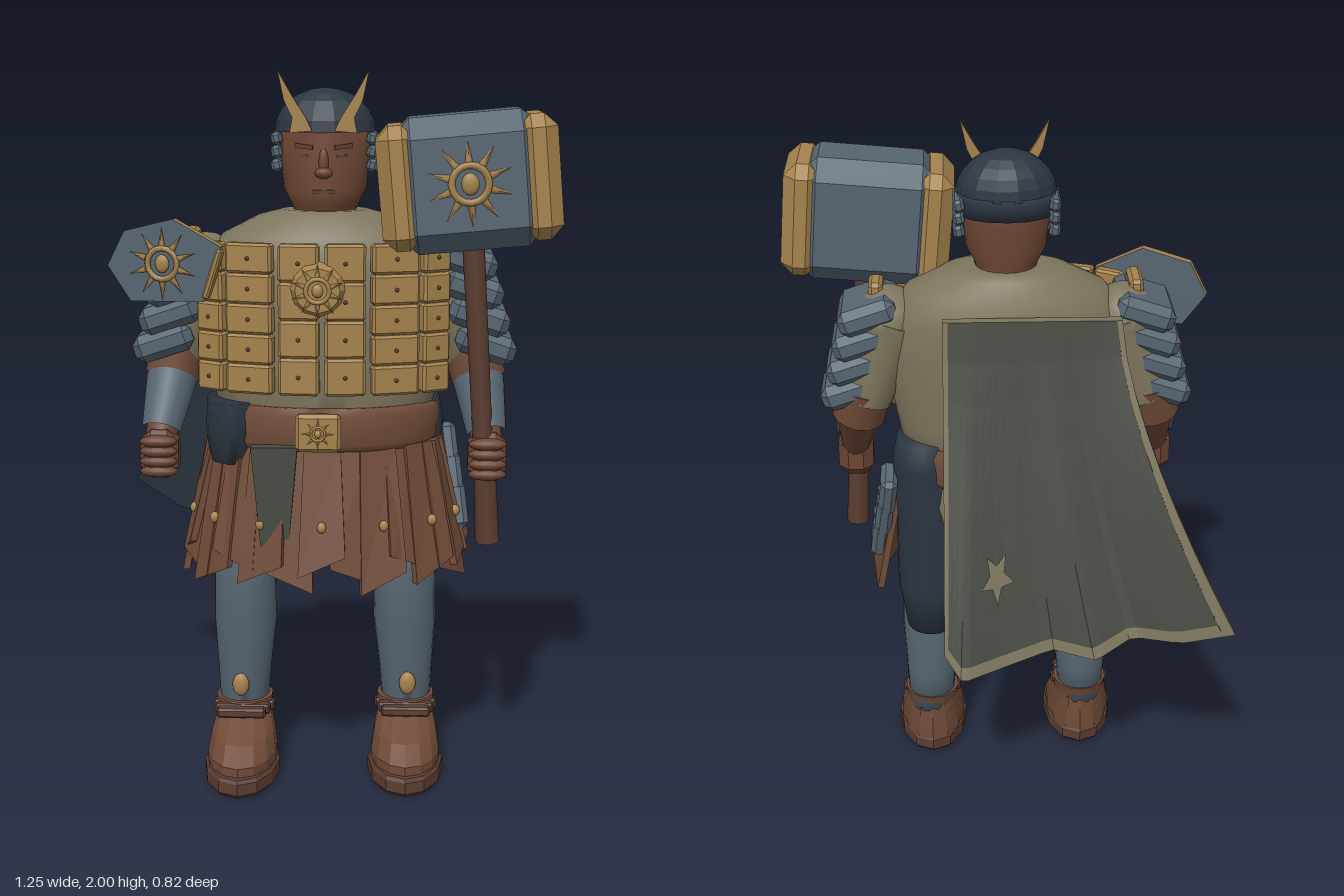
import * as THREE from 'three';
import { ConvexGeometry } from 'three/addons/geometries/ConvexGeometry.js';

const mat = (name, color, side = THREE.FrontSide) => {
  const m = new THREE.MeshStandardMaterial({ color, side });
  m.name = name;
  return m;
};

export function createModel() {
  const root = new THREE.Group();
  const gold = mat('gold', 0xa5834d), steel = mat('steel', 0x566571, THREE.DoubleSide);
  const navy = mat('navy', 0x2b3641), leather = mat('leather', 0x6f4a37), skin = mat('skin', 0x6c4534);
  const tan = mat('tan cloth', 0x7d755d), cloth = mat('dark cloth', 0x484a43), wood = mat('wood', 0x5c3d31);

  const add = (name, geo, m, pos = [0, 0, 0], rot = [0, 0, 0], parent = root) => {
    const mesh = new THREE.Mesh(geo, m);
    mesh.name = name;
    mesh.position.set(...pos);
    mesh.rotation.set(...rot);
    parent.add(mesh);
    return mesh;
  };
  const flat = (g) => { const n = g.index ? g.toNonIndexed() : g; n.computeVertexNormals(); return n; };
  const plate = (points, depth) => new THREE.ExtrudeGeometry(
    new THREE.Shape(points.map(([x, y]) => new THREE.Vector2(x, y))), { depth, bevelEnabled: false });
  // Box with cut corners and edges
  const chamfer = (w, h, d, c) => {
    const p = [];
    for (const x of [-1, 1]) for (const y of [-1, 1]) for (const z of [-1, 1])
      for (const k of [0, 1, 2])
        p.push(new THREE.Vector3(x * (w / 2 - (k === 0 ? 0 : c)), y * (h / 2 - (k === 1 ? 0 : c)), z * (d / 2 - (k === 2 ? 0 : c))));
    return new ConvexGeometry(p);
  };
  // Elliptical rings [y, cx, cz, rx, rz] from bottom to top
  const loft = (rings, n = 20) => {
    const p = [], idx = [];
    for (const [y, cx, cz, rx, rz] of rings)
      for (let i = 0; i < n; i++) {
        const a = i / n * Math.PI * 2;
        p.push(cx + rx * Math.sin(a), y, cz + rz * Math.cos(a));
      }
    for (let r = 0; r < rings.length - 1; r++)
      for (let i = 0; i < n; i++) {
        const a = r * n + i, b = r * n + (i + 1) % n;
        idx.push(a, b, b + n, a, b + n, a + n);
      }
    const top = (rings.length - 1) * n;
    for (let i = 1; i < n - 1; i++) idx.push(0, i + 1, i, top, top + i, top + i + 1);
    const g = new THREE.BufferGeometry();
    g.setAttribute('position', new THREE.Float32BufferAttribute(p, 3));
    g.setIndex(idx);
    g.computeVertexNormals();
    return g;
  };
  // Tapered limb between two points
  const limb = (name, a, b, ra, rb, m, n = 14, ...arc) => {
    const A = new THREE.Vector3(...a), B = new THREE.Vector3(...b), d = B.clone().sub(A);
    const mesh = add(name, new THREE.CylinderGeometry(rb, ra, d.length(), n, 1, ...arc), m);
    mesh.position.copy(A).add(B).multiplyScalar(0.5);
    mesh.quaternion.setFromUnitVectors(new THREE.Vector3(0, 1, 0), d.normalize());
  };
  const ball = (name, m, pos, s, parent = root) => {
    const mesh = add(name, new THREE.SphereGeometry(1, 14, 10), m, pos, [0, 0, 0], parent);
    mesh.scale.set(...s);
  };
  // Sun ornament facing +z
  const sun = (name, r, rays, pos, parent) => {
    const g = new THREE.Group();
    g.name = name;
    g.position.set(...pos);
    add('sunRing', new THREE.TorusGeometry(r * 0.42, r * 0.08, 6, 16), gold, [0, 0, 0], [0, 0, 0], g);
    ball('sunHub', gold, [0, 0, 0], [r * 0.2, r * 0.25, 0.012], g);
    for (let i = 0; i < rays; i++) {
      const a = i / rays * Math.PI * 2;
      add('sunRay', new THREE.ConeGeometry(r * 0.09, r * 0.5, 4), gold,
        [-Math.sin(a) * r * 0.74, Math.cos(a) * r * 0.74, 0], [0, 0, a], g);
    }
    parent.add(g);
  };

  // Torso, rump and belt
  add('torso', loft([[1.0, 0, 0.13, 0.29, 0.16], [1.15, 0, 0.13, 0.315, 0.175], [1.35, 0, 0.13, 0.355, 0.18],
    [1.48, 0, 0.13, 0.345, 0.18], [1.56, 0, 0.125, 0.28, 0.16], [1.61, 0, 0.12, 0.18, 0.12], [1.625, 0, 0.12, 0.12, 0.09]], 28), tan);
  ball('rump', tan, [0, 0.92, 0.1], [0.3, 0.185, 0.16]);
  add('belt', loft([[0.98, 0, 0.13, 0.3, 0.18], [1.0, 0, 0.13, 0.32, 0.195], [1.08, 0, 0.13, 0.32, 0.195], [1.1, 0, 0.13, 0.3, 0.18]], 28), leather);
  add('hipCloth', loft([[0.93, -0.25, 0.14, 0.075, 0.12], [1.02, -0.252, 0.14, 0.083, 0.158], [1.105, -0.25, 0.14, 0.08, 0.15]]), navy);
  add('buckle', chamfer(0.125, 0.105, 0.03, 0.01), gold, [-0.01, 1.04, 0.335]);
  sun('buckleSun', 0.045, 8, [-0.01, 1.04, 0.352], root);

  // Breastplate columns [x, plate width, rows], wrapped round the chest
  for (const [x, w, rows] of [[0.062, 0.11, 4], [0.195, 0.132, 5], [0.302, 0.085, 5]]) for (const s of [-1, 1]) {
    const a = Math.asin(x / 0.385) * s, z = 0.13 + 0.19 * Math.cos(a);
    const yaw = Math.atan2(Math.sin(a) * 0.19, Math.cos(a) * 0.385), step = 0.41 / rows;
    for (let r = 0; r < rows; r++) {
      const y = 1.14 + (r + 0.5) * step;
      add('chestPlate', chamfer(w, step - 0.001, 0.035, 0.007), gold, [x * s, y, z], [0, yaw, 0]);
      add('rivet', new THREE.SphereGeometry(0.006, 6, 4), wood, [x * s + Math.sin(yaw) * 0.018, y, z + Math.cos(yaw) * 0.018]);
    }
  }
  add('chestDisc', flat(new THREE.CylinderGeometry(0.06, 0.075, 0.03, 12)), gold, [-0.01, 1.43, 0.345], [Math.PI / 2, 0, 0]);
  sun('chestSun', 0.075, 10, [-0.01, 1.43, 0.362], root);

  // Leather skirt strips round the front, with studs and a cloth strip
  for (let i = 0; i < 15; i++) {
    const a = (i - 7) * 0.235, len = [0.37, 0.32, 0.35][i % 3], k = Math.cos(a);
    const strip = new THREE.BoxGeometry(0.1, len, 0.02), p = strip.attributes.position;
    for (let v = 0; v < p.count; v++)
      if (p.getY(v) < 0) {
        const side = Math.sign(p.getX(v));
        p.setXYZ(v, p.getX(v) * 1.3, p.getY(v) + side * (i % 2 ? 0.03 : -0.025), p.getZ(v) + 0.04);
      } else p.setZ(v, p.getZ(v) - 0.035);
    const yaw = Math.atan2(Math.sin(a) * 0.2, k * 0.34);
    const x = 0.35 * Math.sin(a), z = 0.12 + 0.2 * k;
    add('skirtStrip', flat(strip), leather, [x, 0.99 - len / 2, z + (i % 2) * 0.008], [0, yaw, 0]);
    if (i % 2) ball('stud', gold, [x * 1.07, 0.78, z + 0.03 * k + 0.008], [0.013, 0.016, 0.013]);
  }
  add('clothStrip', flat(new THREE.CylinderGeometry(0.09, 0.055, 0.28, 4).rotateY(Math.PI / 4)), cloth, [-0.13, 0.86, 0.328]).scale.z = 0.3;
  for (let i = 0; i < 5; i++) add('innerStrip', new THREE.BoxGeometry(0.05, 0.22, 0.02), cloth, [-0.12 + i * 0.06, 0.76, 0.22 + (i % 2) * 0.02]);

  // Legs and boots
  for (const s of [-1, 1]) {
    const dz = s < 0 ? 0.03 : 0, x = s * 0.23, bx = s * 0.235;
    add('trouserLeg', loft([[0.47, x, 0.075 + dz, 0.075, 0.082], [0.62, x, 0.08 + dz, 0.098, 0.1], [0.85, s * 0.22, 0.09, 0.108, 0.108],
      [1.03, s * 0.235, 0.09, 0.1, 0.115], [1.11, s * 0.24, 0.085, 0.08, 0.1]]), navy);
    add('greave', loft([[0.15, s * 0.237, 0.1 + dz, 0.068, 0.07], [0.28, s * 0.235, 0.1 + dz, 0.076, 0.08],
      [0.45, x, 0.11 + dz, 0.09, 0.088], [0.58, x, 0.115 + dz, 0.087, 0.088], [0.66, x, 0.11 + dz, 0.08, 0.08]]), steel);
    ball('greaveStud', gold, [s * 0.24, 0.265, 0.185 + dz], [0.024, 0.034, 0.015]);
    add('sole', flat(loft([[0, bx, 0.2 + dz, 0.098, 0.175], [0.012, bx, 0.2 + dz, 0.108, 0.187], [0.045, bx, 0.2 + dz, 0.108, 0.187],
      [0.055, bx, 0.2 + dz, 0.1, 0.18]], 12)), wood);
    add('boot', flat(loft([[0.045, bx, 0.19 + dz, 0.1, 0.172], [0.08, bx, 0.19 + dz, 0.1, 0.17], [0.125, bx, 0.165 + dz, 0.092, 0.14],
      [0.17, bx, 0.12 + dz, 0.08, 0.09], [0.21, bx, 0.105 + dz, 0.083, 0.085]], 14)), leather);
    add('toeSeam', new THREE.BoxGeometry(0.03, 0.012, 0.16), wood, [bx, 0.125, 0.25 + dz], [0.38, 0, 0]);
    for (let i = 0; i < 3; i++)
      add('bootStrap', chamfer(0.18 - i * 0.02, 0.028, 0.035, 0.006), wood, [bx, 0.185 + i * 0.007, 0.13 + dz + i * 0.05]);
  }

  // Arms, shoulder slats and fists
  for (const s of [-1, 1]) {
    limb('upperArm', [s * 0.32, 1.47, 0.12], [s * 0.405, 1.22, 0.11], 0.1, 0.075, tan);
    ball('shoulder', tan, [s * 0.33, 1.46, 0.12], [0.1, 0.1, 0.1]);
    limb('elbowCuff', [s * 0.405, 1.265, 0.11], [s * 0.43, 1.155, 0.13], 0.08, 0.077, leather);
    limb('forearm', [s * 0.425, 1.18, 0.115], [s * 0.45, 1.0, 0.25], 0.068, 0.042, skin);
    limb('bracer', [s * 0.45, 1.02, 0.243], [s * 0.43, 1.15, 0.146], 0.054, 0.071, steel, 12, true, -Math.PI / 2, Math.PI);
    add('fist', chamfer(0.105, 0.135, 0.1, 0.03), skin, [s * 0.45, 0.965, 0.262]);
    for (let i = 0; i < 4; i++) ball('finger', skin, [s * 0.45, 0.92 + i * 0.028, 0.3], [0.052, 0.017, 0.022]);
    for (let i = 0; i < 4; i++)
      add('shoulderSlat', chamfer(0.17, 0.078, 0.185 + i * 0.01, 0.022), steel,
        [s * (0.445 - i * 0.019), 1.26 + i * 0.078, 0.13], [0, 0, -s * 0.32]);
    add('shoulderClasp', chamfer(0.04, 0.08, 0.12, 0.01), gold, [s * 0.365, 1.535, 0.155]);
  }

  // Six-sided shoulder shield with a gold rim
  const shield = new THREE.Group();
  shield.name = 'shoulderShield';
  shield.position.set(-0.425, 1.49, 0.25);
  shield.rotation.y = -0.23;
  root.add(shield);
  add('shieldPlate', plate([[-0.16, -0.01], [-0.095, -0.105], [0.115, -0.1], [0.165, 0.05], [0.03, 0.12], [-0.11, 0.085]], 0.025), [steel, gold],
    [0, 0, 0], [0, 0, 0], shield);
  add('shieldEdge', chamfer(0.018, 0.14, 0.03, 0.005), gold, [0.14, -0.025, 0.016], [0, 0, -0.32], shield);
  sun('shieldSun', 0.1, 10, [0, 0, 0.03], shield);

  // Head and face
  add('head', loft([[1.55, 0, 0.11, 0.085, 0.075], [1.62, 0, 0.115, 0.085, 0.075], [1.635, 0, 0.125, 0.09, 0.085], [1.68, 0, 0.125, 0.113, 0.092],
    [1.76, 0, 0.12, 0.122, 0.09], [1.86, 0, 0.12, 0.12, 0.09]]), skin);
  ball('noseBridge', skin, [0, 1.755, 0.206], [0.014, 0.04, 0.016]);
  ball('noseTip', skin, [0, 1.728, 0.212], [0.024, 0.016, 0.018]);
  add('mouth', new THREE.BoxGeometry(0.06, 0.009, 0.008), wood, [0, 1.678, 0.214]);
  for (const s of [-1, 1]) {
    add('eye', new THREE.BoxGeometry(0.03, 0.008, 0.008), wood, [s * 0.05, 1.772, 0.199], [0, s * 0.3, 0]);
    add('brow', new THREE.BoxGeometry(0.05, 0.012, 0.015), wood, [s * 0.052, 1.798, 0.198], [0, s * 0.3, s * 0.1]);
    // Slatted cheek guards
    for (let i = 0; i < 3; i++)
      add('cheekGuard', chamfer(0.03, 0.034, 0.13, 0.008), steel, [s * 0.13, 1.745 + i * 0.036, 0.1], [0, 0, -s * 0.2]);
    // Flat horn
    add('horn', plate([[0.03, 1.84], [0.09, 1.835], [0.083, 1.875], [0.105, 1.92], [0.122, 2.0], [0.085, 1.935], [0.045, 1.872]]
      .map(([x, y]) => [x * s, y]), 0.014), gold, [0, 0, 0.218]);
  }
  add('helmet', flat(new THREE.SphereGeometry(1, 14, 6, 0, Math.PI * 2, 0, Math.PI / 2)), navy, [0, 1.835, 0.115]).scale.set(0.138, 0.117, 0.107);
  add('helmetBand', loft([[1.78, 0, 0.09, 0.128, 0.08], [1.84, 0, 0.1, 0.137, 0.092]], 14), navy);

  // War hammer
  const hammer = new THREE.Group();
  hammer.name = 'hammerHead';
  hammer.position.set(0.385, 1.715, 0.28);
  hammer.rotation.z = 0.09;
  root.add(hammer);
  add('hammerCore', chamfer(0.4, 0.355, 0.25, 0.055), steel, [0, 0, 0], [0, 0, 0], hammer);
  for (const s of [-1, 1]) add('hammerCap', chamfer(0.105, 0.325, 0.26, 0.035), gold, [s * 0.183, 0, 0], [0, 0, 0], hammer);
  sun('hammerSun', 0.115, 10, [0, 0, 0.127], hammer);
  limb('hammerHandle', [0.452, 0.8, 0.27], [0.4, 1.58, 0.27], 0.026, 0.03, wood, 8);
  limb('handleGrip', [0.456, 0.72, 0.27], [0.446, 0.91, 0.27], 0.034, 0.03, wood, 8);

  // Hip plates on one side, pouch on the other
  for (let i = 0; i < 3; i++) add('hipPlate', chamfer(0.05, 0.13, 0.11, 0.014), steel, [0.35 + i * 0.014, 0.945 - i * 0.083, 0.06 + i * 0.022], [-0.25, 0, 0.12]);
  ball('pouch', leather, [-0.29, 0.9, -0.01], [0.06, 0.075, 0.055]);

  // Folded cape: lower hem points blended up to a straight top edge
  const hem = [[-0.62, 0.72, -0.405], [-0.48, 0.65, -0.34], [-0.35, 0.63, -0.275], [-0.24, 0.6, -0.345],
    [-0.12, 0.6, -0.285], [0.02, 0.58, -0.34], [0.14, 0.575, -0.405], [0.19, 0.63, -0.35]];
  const capePoint = (u, v, off) => {
    const f = Math.min(u * 7, 6.9999), i = Math.floor(f), k = f - i;
    const [x, y, z] = hem[i].map((c, j) => c + (hem[i + 1][j] - c) * k);
    const tx = -0.31 + 0.49 * u;
    return [tx + (x - tx) * Math.pow(v, 1.5), 1.53 + (y - 1.53) * v, -0.075 + (z + 0.075) * Math.pow(v, 1.3) + off];
  };
  const sheet = (name, fn, nu, nv, m) => {
    const p = [];
    const at = (i, j) => fn(i / nu, j / nv);
    for (let i = 0; i < nu; i++) for (let j = 0; j < nv; j++) {
      const a = at(i, j), b = at(i + 1, j), c = at(i + 1, j + 1), d = at(i, j + 1);
      p.push(...a, ...b, ...c, ...a, ...c, ...d);
    }
    const g = new THREE.BufferGeometry();
    g.setAttribute('position', new THREE.Float32BufferAttribute(p, 3));
    g.computeVertexNormals();
    add(name, g, m);
  };
  const T = 0.028;
  const outer = (name, u0, u1, v0, v1, m, nu = 1) =>
    sheet(name, (u, v) => capePoint(u0 + (u1 - u0) * u, v0 + (v1 - v0) * v, 0), nu, 8, m);
  outer('capeBack', 0.03, 0.97, 0, 0.965, cloth, 28);
  outer('capeTrim', 0, 0.03, 0, 1, tan);
  outer('capeTrim', 0.97, 1, 0, 1, tan);
  outer('capeTrim', 0.03, 0.97, 0.965, 1, tan, 28);
  sheet('capeLining', (u, v) => capePoint(1 - u, v, T), 28, 8, navy);
  sheet('capeHem', (u, v) => capePoint(u, 1, T * v), 28, 1, tan);
  sheet('capeTop', (u, v) => capePoint(1 - u, 0, T * v), 28, 1, tan);
  sheet('capeEdge', (u, v) => capePoint(0, u, T * v), 8, 1, tan);
  sheet('capeEdge', (u, v) => capePoint(1, 1 - u, T * v), 8, 1, tan);
  // Star-shaped patch lying on the cape
  sheet('capePatch', (u, v) => {
    const a = u * Math.PI * 2, r = (Math.round(u * 10) % 2 ? 0.45 : 1) * v;
    return capePoint(0.73 + Math.sin(a) * 0.065 * r, 0.735 + Math.cos(a) * 0.08 * r, -0.007);
  }, 10, 1, tan);
  return root;
}
